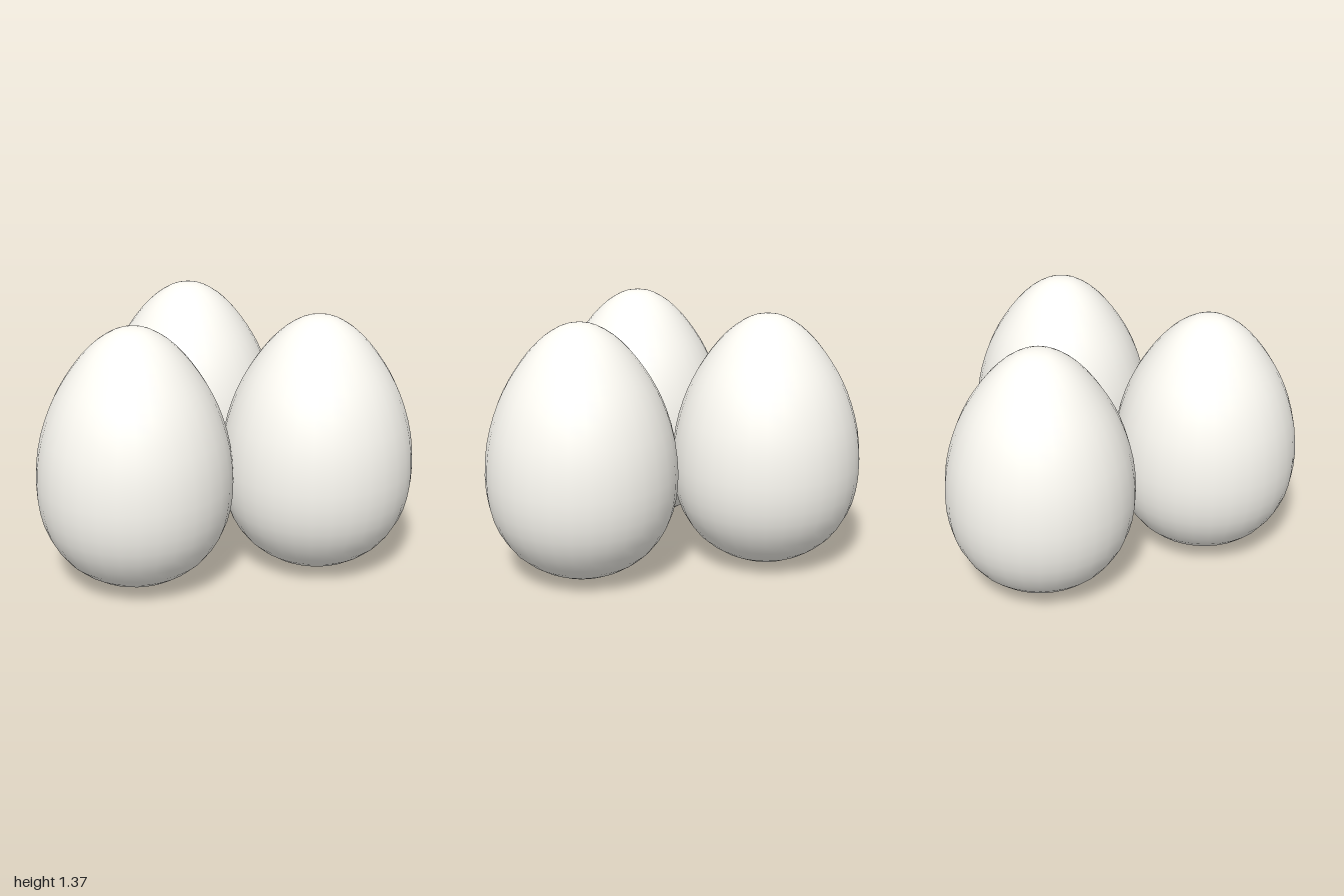
import * as THREE from 'three';

// Egg outline from base to tip: [radius, height]
const OUTLINE = [
  [0, 0], [0.05, 0.002], [0.13, 0.015], [0.25, 0.066], [0.37, 0.157], [0.455, 0.285],
  [0.497, 0.42], [0.509, 0.57], [0.493, 0.74], [0.453, 0.89], [0.403, 1.01],
  [0.342, 1.115], [0.264, 1.22], [0.182, 1.3], [0.1, 1.351], [0.045, 1.367], [0, 1.37],
];

// Egg positions on the ground: name, x, z
const EGGS = [
  ['rightEgg', -0.491, 0.418],
  ['leftEgg', 0.491, 0.447],
  ['backEgg', 0.027, -0.451],
];

export function createModel() {
  const group = new THREE.Group();
  group.name = 'eggs';

  // One smooth turned shell, shared by all eggs
  const curve = new THREE.SplineCurve(OUTLINE.map(([r, y]) => new THREE.Vector2(r, y)));
  const profile = curve.getPoints(32);
  profile.forEach((p) => p.set(Math.max(p.x, 0), Math.max(p.y, 0)));
  const shell = new THREE.LatheGeometry(profile, 32);
  const material = new THREE.MeshStandardMaterial({ color: 0xfcfaf3 });

  for (const [name, x, z] of EGGS) {
    const egg = new THREE.Mesh(shell, material);
    egg.name = name;
    egg.position.set(x, 0, z);
    group.add(egg);
  }
  return group;
}
